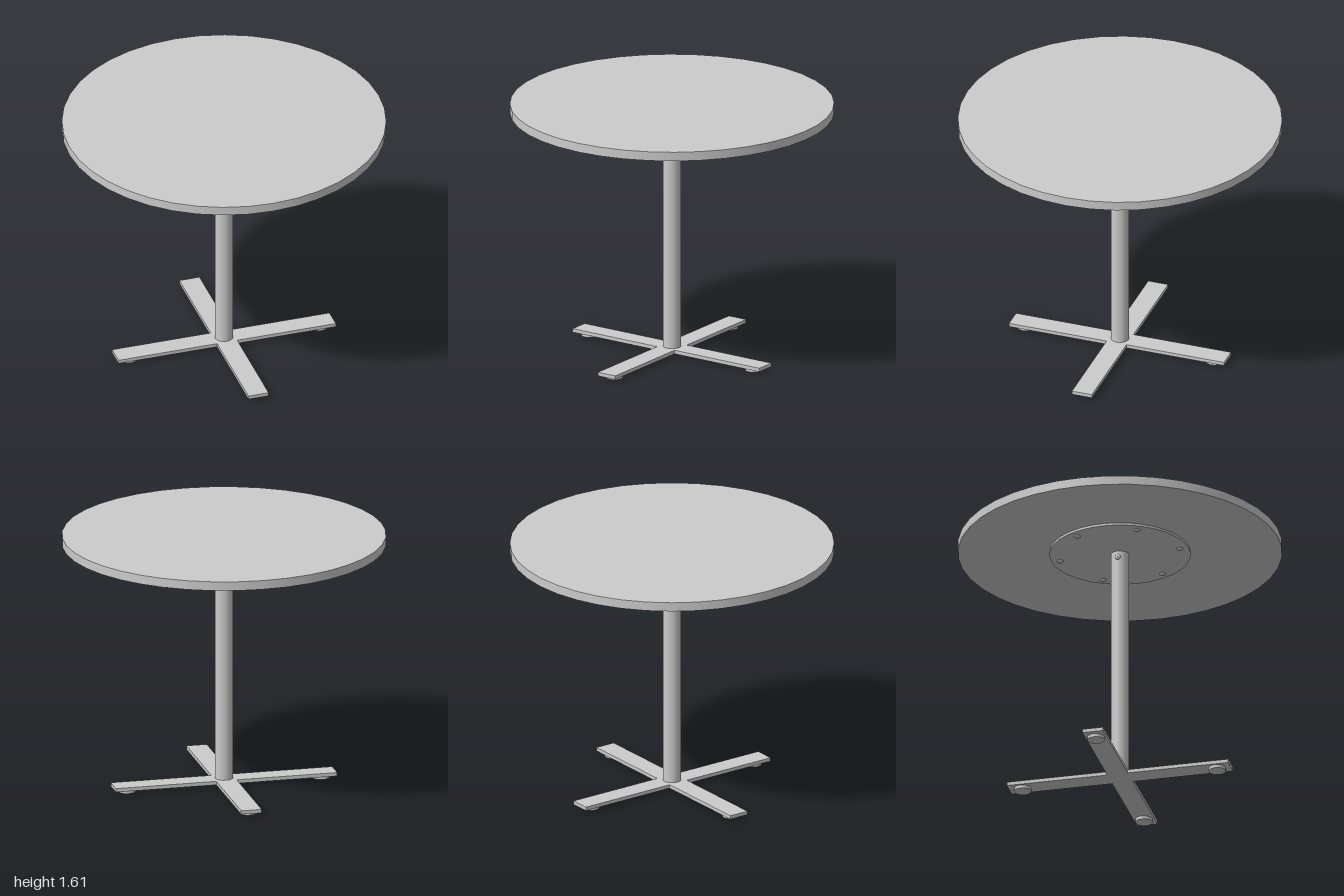
import * as THREE from 'three';

export function createModel() {
  const group = new THREE.Group();
  const material = new THREE.MeshStandardMaterial({ color: 0xcccccc });

  const add = (name, geometry, x = 0, y = 0, z = 0) => {
    const mesh = new THREE.Mesh(geometry, material);
    mesh.name = name;
    mesh.position.set(x, y, z);
    group.add(mesh);
    return mesh;
  };
  // Upright cylinder between two heights
  const disc = (name, r, y0, y1, sides, x = 0, z = 0) =>
    add(name, new THREE.CylinderGeometry(r, r, y1 - y0, sides), x, (y0 + y1) / 2, z);
  // Shallow domed head, pointing up before rotation
  const head = (r, h) => new THREE.LatheGeometry([
    new THREE.Vector2(r, 0), new THREE.Vector2(r, h * 0.3),
    new THREE.Vector2(r * 0.75, h * 0.8), new THREE.Vector2(0, h),
  ], 16);

  // Top, mounting plate and column
  disc('tableTop', 1, 1.555, 1.612, 40);
  disc('mountingPlate', 0.435, 1.54, 1.555, 40);
  disc('column', 0.057, 0.04, 1.54, 32);

  // Six screws under the plate
  for (let i = 0; i < 6; i++) {
    const a = i * Math.PI / 3;
    add('plateScrew', head(0.02, 0.012), 0.38 * Math.sin(a), 1.54, 0.38 * Math.cos(a))
      .rotation.x = Math.PI;
  }

  // Bolts through the top of the column
  for (const s of [-1, 1]) {
    add('columnBolt', head(0.018, 0.014), s * 0.053, 1.5, 0).rotation.z = -s * Math.PI / 2;
  }

  // Cross-shaped base cut from one plate
  const w = 0.065, l = 0.703;
  const cross = new THREE.Shape([
    [l, -w], [l, w], [w, w], [w, l], [-w, l], [-w, w],
    [-l, w], [-l, -w], [-w, -w], [-w, -l], [w, -l], [w, -w],
  ].map(([x, y]) => new THREE.Vector2(x, y)));
  const base = new THREE.ExtrudeGeometry(cross, { depth: 0.023, bevelEnabled: false });
  base.rotateX(-Math.PI / 2);
  add('crossBase', base, 0, 0.02, 0);

  // A round foot under each arm
  for (const [x, z] of [[1, 0], [-1, 0], [0, 1], [0, -1]]) {
    disc('foot', 0.053, 0, 0.02, 24, x * 0.617, z * 0.617);
  }

  return group;
}
